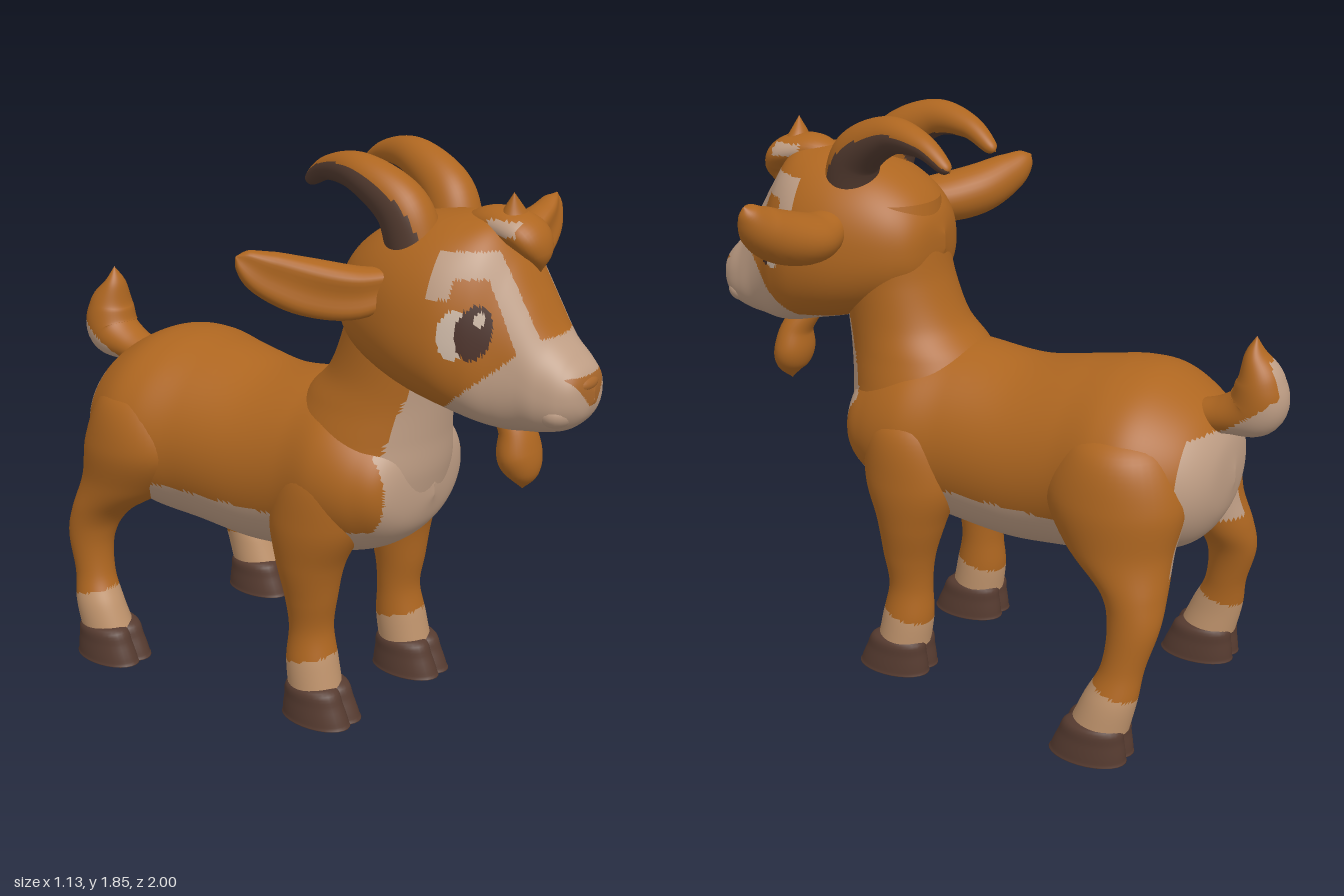
import * as THREE from 'three';

const mat = (name, color) => {
  const m = new THREE.MeshStandardMaterial({ color });
  m.name = name;
  return m;
};
const V = (x, y, z) => new THREE.Vector3(x, y, z);
const AX = V(1, 0, 0), AY = V(0, 1, 0), AZ = V(0, 0, 1), DOWN = V(0, -1, 0);
const soft = (v, e) => Math.sign(v) * Math.abs(v) ** e;

// Smooth skin over rounded sections [x, y, z, radiusU, radiusV, egg].
// axis fixes the section plane; without it sections follow the path.
// paint(point, offset) gives the index of the material of each face.
function loft(name, secs, mats, { axis, ref = AX, n = 32, m = 32, paint, dent = 0, square = 1 } = {}) {
  const path = new THREE.CatmullRomCurve3(secs.map(s => V(s[0], s[1], s[2])), false, 'catmullrom', 0.5);
  const size = new THREE.CatmullRomCurve3(secs.map(s => V(s[3], s[4], s[5] || 0)), false, 'catmullrom', 0.5);
  const pos = [], offs = [];
  for (let i = 0; i <= m; i++) {
    const c = path.getPoint(i / m), r = size.getPoint(i / m);
    const T = axis || path.getTangent(i / m);
    const U = ref.clone().addScaledVector(T, -ref.dot(T)).normalize();
    const W = T.clone().cross(U);
    for (let j = 0; j < n; j++) {
      const a = (j / n) * Math.PI * 2, s = soft(Math.sin(a), square);
      const hollow = 1 - dent * Math.max(0, s) ** 3;
      const o = U.clone().multiplyScalar(Math.max(r.x, 0.0002) * soft(Math.cos(a), square) * (1 - r.z * s))
        .addScaledVector(W, Math.max(r.y, 0.0002) * s * hollow);
      offs.push(o);
      pos.push(c.x + o.x, c.y + o.y, c.z + o.z);
    }
  }
  const lists = mats.map(() => []);
  const at = k => V(pos[3 * k], pos[3 * k + 1], pos[3 * k + 2]);
  for (let i = 0; i < m; i++) for (let j = 0; j < n; j++) {
    const a = i * n + j, b = i * n + (j + 1) % n, c = b + n, d = a + n;
    for (const f of [[a, b, c], [a, c, d]]) {
      const p = at(f[0]).add(at(f[1])).add(at(f[2])).divideScalar(3);
      lists[paint ? paint(p, offs[a]) : 0].push(...f);
    }
  }
  const g = new THREE.BufferGeometry();
  g.setAttribute('position', new THREE.Float32BufferAttribute(pos, 3));
  g.setIndex(lists.flat());
  let start = 0;
  lists.forEach((l, k) => { g.addGroup(start, l.length, k); start += l.length; });
  g.computeVertexNormals();
  const mesh = new THREE.Mesh(g, mats);
  mesh.name = name;
  return mesh;
}

export function createModel() {
  const coat = mat('orangeCoat', 0xae6620), cream = mat('creamFur', 0xbe9d84);
  const tan = mat('tanFetlock', 0xbf936c), hoof = mat('hoofBrown', 0x563b30);
  const horn = mat('hornBrown', 0x523a2f), dark = mat('eyeBrown', 0x4a3028);
  const white = mat('eyeWhite', 0xcbb6a4), nose = mat('noseBrown', 0xa8662a);
  const goat = new THREE.Group();
  goat.name = 'goat';
  const ball = (name, m, p, s) => {
    const b = new THREE.Mesh(new THREE.SphereGeometry(1, 24, 16), m);
    b.name = name; b.position.set(...p); b.scale.set(...s);
    goat.add(b);
  };
  // turns [z, top, bottom, halfWidth, egg] rows into sections along z
  const rows = (x, list) => list.map(([z, t, b, w, e]) => [x, (t + b) / 2, z, w, (t - b) / 2, e]);
  const bib = p => p.z > 0.36 + 0.3 * (p.y - 0.9) && Math.abs(p.x + 0.02) < 0.22;

  // Torso with cream chest, belly and rump
  goat.add(loft('torso', rows(-0.025, [
    [-0.845, 0.84, 0.8, 0, 0], [-0.82, 0.96, 0.69, 0.17], [-0.75, 1.05, 0.6, 0.28], [-0.62, 1.125, 0.55, 0.36],
    [-0.5, 1.14, 0.52, 0.37], [-0.35, 1.12, 0.5, 0.33], [-0.15, 1.09, 0.485, 0.312], [0.05, 1.11, 0.505, 0.3],
    [0.2, 1.12, 0.54, 0.315], [0.33, 1.06, 0.59, 0.285], [0.42, 0.98, 0.67, 0.21], [0.46, 0.86, 0.78, 0]]),
  [coat, cream], { axis: AZ, n: 120, m: 110, paint: p => {
    const belly = p.y < 0.7 && p.z > -0.52;
    const rump = p.z < -0.75 + Math.max(0, 0.72 - p.y) && p.y < 0.99;
    return belly || rump || p.y < 0.58 || bib(p) ? 1 : 0;
  } }));

  // Neck: [y, back z, front z, halfWidth]
  goat.add(loft('neck', [
    [1.56, 0.2, 0.56, 0.17], [1.42, 0.18, 0.53, 0.2], [1.3, 0.155, 0.505, 0.195], [1.17, 0.1, 0.495, 0.2],
    [1.08, 0.02, 0.485, 0.22], [0.98, -0.03, 0.475, 0.25], [0.85, -0.02, 0.465, 0.275], [0.7, 0.02, 0.42, 0.26],
    [0.62, 0.1, 0.32, 0.12]].map(([y, b, f, w]) => [-0.025, y, (b + f) / 2, w, (f - b) / 2]),
  [coat, cream], { axis: DOWN, n: 80, m: 64, paint: p => bib(p) && Math.abs(p.x + 0.015) < 0.21 - 0.3 * Math.max(0, p.y - 0.92) ? 1 : 0 }));

  // Head with cream muzzle, hooked brow stripes and painted eyes
  const hx = -0.04;
  goat.add(loft('head', rows(hx, [
    [0.17, 1.45, 1.4, 0, 0], [0.2, 1.53, 1.3, 0.13, 0.05], [0.26, 1.6, 1.24, 0.2, 0.06], [0.36, 1.66, 1.19, 0.25, 0.08],
    [0.48, 1.69, 1.15, 0.28, 0.1], [0.6, 1.7, 1.12, 0.276, 0.13], [0.69, 1.685, 1.095, 0.238, 0.17],
    [0.76, 1.6, 1.085, 0.19, 0.18], [0.82, 1.5, 1.09, 0.162, 0.12], [0.88, 1.4, 1.1, 0.144, 0.1],
    [0.94, 1.34, 1.12, 0.12, 0.05], [0.98, 1.295, 1.16, 0.08, 0], [0.998, 1.24, 1.21, 0, 0]]),
  [coat, cream, dark, white, nose], { axis: AZ, n: 144, m: 140, square: 0.88, paint: p => {
    const x = Math.abs(p.x - hx);
    const oval = (z, y, rz, ry) => x > 0.08 && ((p.z - z) / rz) ** 2 + ((p.y - y) / ry) ** 2 < 1;
    if (p.z > 0.9 && p.y > 1.2 && p.y < 1.29 && x < 0.02 + 0.85 * (p.y - 1.2)) return 4;
    if (oval(0.728, 1.447, 0.013, 0.02)) return 3;
    if (oval(0.718, 1.41, 0.042, 0.076)) return 2;
    if (oval(0.674, 1.405, 0.044, 0.07)) return 3;
    const muzzle = p.y < 1.39 && p.y - 1.165 < 0.9 * Math.max(0, p.z - 0.62);
    const stripe = p.z > 0.6 && p.y > 1.3 && p.y < 1.6 && x > 0.09 && x < 0.15;
    const arch = p.z > 0.59 && p.y > 1.555 && p.y < 1.625 && x > 0.09;
    const hook = p.z > 0.59 && p.z < 0.65 && p.y > 1.5 && p.y < 1.6 && x > 0.15;
    return muzzle || stripe || arch || hook ? 1 : 0;
  } }));
  ball('nose', nose, [-0.046, 1.262, 0.965], [0.06, 0.026, 0.032]);
  for (const s of [-1, 1]) ball('lip', cream, [hx + s * 0.055, 1.18, 0.91], [0.075, 0.05, 0.06]);

  // Forelock, chin beard and neck tufts
  goat.add(loft('forelock', [[-0.03, 1.66, 0.54, 0.03, 0.02], [-0.03, 1.68, 0.64, 0.07, 0.045],
    [-0.03, 1.66, 0.745, 0.085, 0.05], [-0.025, 1.61, 0.79, 0.06, 0.035], [-0.02, 1.55, 0.795, 0, 0]],
  [coat, cream], { paint: p => p.y > 1.66 && p.y < 1.7 && p.z > 0.66 && p.z < 0.76 ? 1 : 0 }));
  goat.add(loft('forelockTip', [[-0.03, 1.64, 0.73, 0.07, 0.055], [-0.035, 1.7, 0.71, 0.05, 0.04],
    [-0.05, 1.775, 0.715, 0, 0]], [coat]));
  goat.add(loft('beard', [[-0.02, 1.13, 0.67, 0.035, 0.035], [-0.005, 1.06, 0.725, 0.065, 0.05],
    [0, 0.98, 0.74, 0.085, 0.062], [0, 0.92, 0.755, 0.06, 0.048], [0, 0.868, 0.755, 0, 0]], [coat]));
  for (const [y, z] of [[1.4, 0.225], [1.3, 0.2]]) {
    goat.add(loft('neckTuft', [[-0.025, y, z, 0.07, 0.04], [-0.025, y - 0.06, z - 0.035, 0.045, 0.025],
      [-0.025, y - 0.1, z - 0.06, 0, 0]], [coat], { n: 16, m: 12 }));
  }

  // Horns sweeping back, brown along the lower side
  const hornPaths = { 1: [0.06, 0.085, 0.125, 0.175, 0.205, 0.208], '-1': [-0.15, -0.16, -0.16, -0.125, -0.092, -0.09] };
  for (const s of [-1, 1]) {
    const x = hornPaths[s];
    goat.add(loft('horn', [[x[0], 1.58, 0.46, 0.088, 0.088], [x[1], 1.71, 0.41, 0.08, 0.08],
      [x[2], 1.79, 0.27, 0.062, 0.06], [x[3], 1.785, 0.13, 0.043, 0.038], [x[4], 1.735, 0.035, 0.024, 0.022],
      [x[5], 1.722, 0.015, 0, 0]],
    [coat, horn], { n: 48, m: 50, paint: (p, o) => s * o.x * 0.5 - o.y * 0.8 - o.z * 0.2 > 0.2 * o.length() ? 1 : 0 }));
  }

  // Ears, hollowed in front
  goat.add(loft('leftEar', [[0.15, 1.5, 0.46, 0.05, 0.06], [0.26, 1.475, 0.485, 0.078, 0.105],
    [0.38, 1.503, 0.51, 0.084, 0.1], [0.48, 1.557, 0.52, 0.07, 0.072], [0.535, 1.612, 0.52, 0.038, 0.038],
    [0.555, 1.64, 0.52, 0.002, 0.002]], [coat], { ref: AY, dent: 0.45 }));
  goat.add(loft('rightEar', [[-0.22, 1.5, 0.44, 0.05, 0.06], [-0.31, 1.48, 0.35, 0.078, 0.095],
    [-0.4, 1.5, 0.25, 0.084, 0.09], [-0.49, 1.545, 0.175, 0.068, 0.064], [-0.54, 1.585, 0.135, 0.038, 0.036],
    [-0.56, 1.602, 0.12, 0.002, 0.002]], [coat], { ref: DOWN, dent: 0.45 }));

  // Legs: sections for the left side, mirrored with a small stagger
  const fore = [[0.1, 0.98, 0.19, 0.06, 0.08], [0.15, 0.88, 0.185, 0.14, 0.15], [0.19, 0.7, 0.17, 0.13, 0.165],
    [0.205, 0.55, 0.17, 0.105, 0.118], [0.205, 0.42, 0.18, 0.083, 0.088], [0.203, 0.31, 0.178, 0.073, 0.073],
    [0.21, 0.2, 0.185, 0.084, 0.086], [0.215, 0.1, 0.2, 0.088, 0.09]];
  const hind = [[0.15, 1.03, -0.54, 0.08, 0.08], [0.18, 0.95, -0.55, 0.16, 0.17], [0.21, 0.8, -0.55, 0.172, 0.225],
    [0.245, 0.65, -0.58, 0.14, 0.175], [0.29, 0.53, -0.65, 0.105, 0.105], [0.33, 0.43, -0.67, 0.078, 0.082],
    [0.36, 0.3, -0.652, 0.068, 0.068], [0.385, 0.2, -0.625, 0.078, 0.085], [0.395, 0.1, -0.595, 0.085, 0.095]];
  const leg = (name, secs, s, dx, dz, inner) => {
    const list = secs.map(([x, y, z, u, v]) => {
      const k = Math.max(0, 1 - y / 0.8);
      return s > 0 ? [x, y, z, u, v] : [-x - 0.035 + dx * k, y, z + dz * Math.min(1, k * 2.5), u, v];
    });
    const sock = inner ? 0.235 : 0.21;
    goat.add(loft(name, list, [coat, tan, cream], { axis: DOWN, n: 44, m: 64, paint: (p, o) =>
      p.y < sock + 0.25 * o.z ? 1 : inner && p.y > 0.58 && s * o.x < -0.01 && o.z < 0.08 ? 2 : 0 }));
    // hoof of two merged toes, leaving a shallow cleft
    const [cx, , cz] = list[list.length - 1];
    for (const t of [-0.03, 0.03]) {
      goat.add(loft('hoof', [[0.135, 0, 0], [0.12, 0.058, 0.088], [0.07, 0.067, 0.108], [0.015, 0.073, 0.123],
        [0.001, 0.069, 0.117], [0.001, 0, 0]].map(([y, u, v]) => [cx + t, y, cz + 0.025 - y * 0.15, u, v]),
      [hoof], { axis: DOWN, n: 28, m: 25 }));
    }
  };
  for (const s of [-1, 1]) {
    leg('frontLeg', fore, s, 0.015, -0.045, false);
    leg('hindLeg', hind, s, 0.11, -0.085, true);
  }

  // Upturned tail, cream underneath and behind
  goat.add(loft('tail', [[-0.015, 1.0, -0.7, 0.05, 0.05], [-0.015, 1.025, -0.81, 0.075, 0.06],
    [-0.015, 1.065, -0.9, 0.09, 0.09], [-0.01, 1.15, -0.91, 0.08, 0.075], [-0.01, 1.23, -0.89, 0.045, 0.035],
    [-0.01, 1.29, -0.89, 0, 0]],
  [coat, cream], { n: 48, m: 48, paint: (p, o) =>
    p.y < 0.98 + 0.76 * (-0.8 - p.z) || (o.z < -0.8 * o.length() && p.y < 1.22) ? 1 : 0 }));

  return goat;
}
